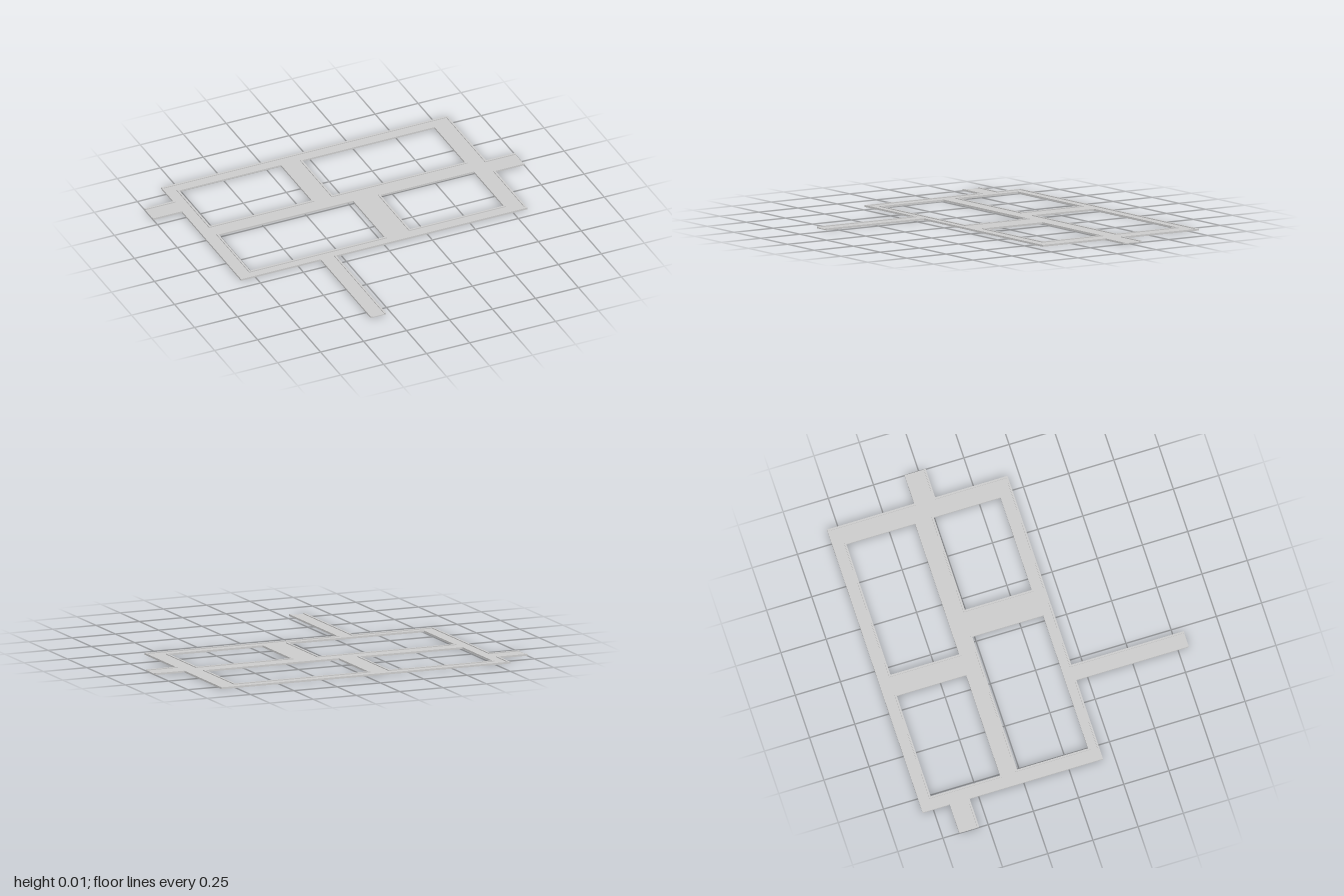
import * as THREE from 'three';

const BASE = 0.005, CURB_HEIGHT = 0.005, CURB_WIDTH = 0.01;

// Outer edge as open runs [x, z], broken at the three open road ends
const edgeRuns = [
  [[-0.28, 0.81], [-0.28, 0.188], [0.832, 0.188], [0.832, -0.212], [1, -0.212]],
  [[1, -0.328], [0.832, -0.328], [0.832, -0.81], [-0.834, -0.81], [-0.834, -0.66], [-1, -0.66]],
  [[-1, -0.55], [-0.834, -0.55], [-0.834, 0.188], [-0.37, 0.188], [-0.37, 0.81]],
];

// City block openings: x0, x1, z0, z1
const blocks = [
  [-0.76, -0.168, -0.742, -0.358],
  [-0.046, 0.723, -0.738, -0.358],
  [-0.754, 0.028, -0.262, 0.13],
  [0.183, 0.727, -0.254, 0.116],
];

const material = new THREE.MeshStandardMaterial({ color: 0xcccccc });

const toPoints = (run) => run.map(([x, z]) => new THREE.Vector2(x, -z));

function rectangle([x0, x1, z0, z1], grow = 0) {
  return toPoints([
    [x0 - grow, z1 + grow], [x1 + grow, z1 + grow],
    [x1 + grow, z0 - grow], [x0 - grow, z0 - grow],
  ]);
}

// Lay a plan shape flat and give it a height
function slab(name, shape, bottom, height) {
  const geometry = new THREE.ExtrudeGeometry(shape, { depth: height, bevelEnabled: false });
  geometry.rotateX(-Math.PI / 2).translate(0, bottom, 0);
  const mesh = new THREE.Mesh(geometry, material);
  mesh.name = name;
  return mesh;
}

// Shift a right-angled run towards the road by the given width
function inset(points, width) {
  const normals = points.slice(1).map((p, i) => {
    const d = p.clone().sub(points[i]).normalize();
    return new THREE.Vector2(-d.y, d.x);
  });
  return points.map((p, i) => {
    const q = p.clone();
    if (i > 0) q.addScaledVector(normals[i - 1], width);
    if (i < normals.length) q.addScaledVector(normals[i], width);
    return q;
  });
}

export function createModel() {
  const model = new THREE.Group();
  model.name = 'roadNetwork';

  // Road surface with the block openings cut out
  const road = new THREE.Shape(edgeRuns.flatMap(toPoints));
  road.holes = blocks.map((b) => new THREE.Path(rectangle(b)));
  model.add(slab('roadSurface', road, 0, BASE));

  // Raised curb along the outer edges
  edgeRuns.forEach((run, i) => {
    const outer = toPoints(run);
    const strip = new THREE.Shape([...outer, ...inset(outer, CURB_WIDTH).reverse()]);
    model.add(slab(`outerCurb${i + 1}`, strip, BASE, CURB_HEIGHT));
  });

  // Raised curb around each opening
  blocks.forEach((b, i) => {
    const ring = new THREE.Shape(rectangle(b, CURB_WIDTH));
    ring.holes.push(new THREE.Path(rectangle(b)));
    model.add(slab(`blockCurb${i + 1}`, ring, BASE, CURB_HEIGHT));
  });

  return model;
}
